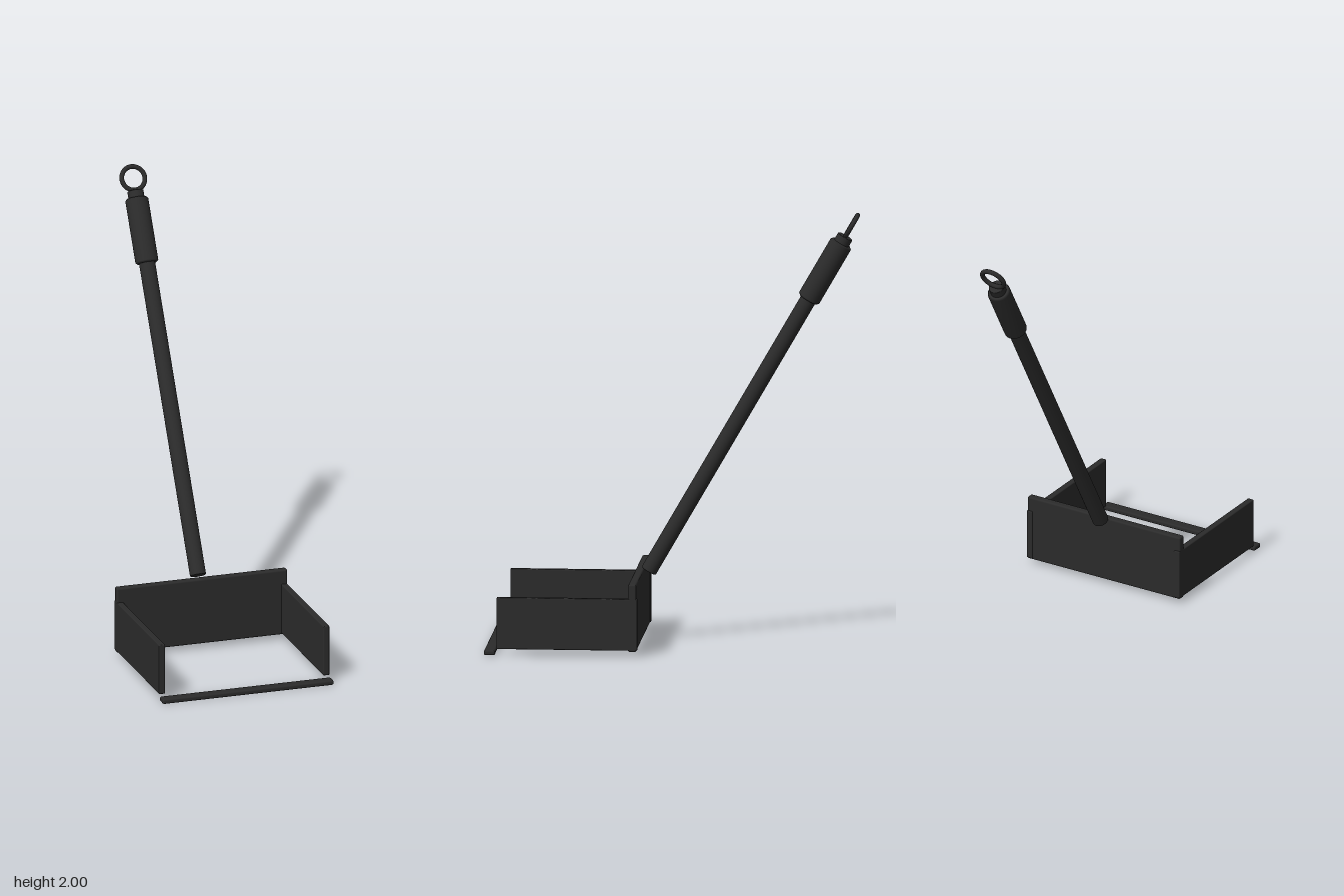
import * as THREE from 'three';
import { RoundedBoxGeometry } from 'three/addons/geometries/RoundedBoxGeometry.js';

export function createModel() {
  const model = new THREE.Group();
  model.name = 'longHandledDustpan';
  const plastic = new THREE.MeshStandardMaterial({ color: 0x2b2b2b });
  plastic.name = 'charcoal plastic';

  const add = (name, geometry, parent = model) => {
    const mesh = new THREE.Mesh(geometry, plastic);
    mesh.name = name;
    parent.add(mesh);
    return mesh;
  };

  // Softly rounded box given by its lower and upper corners
  const slab = (name, [x0, y0, z0], [x1, y1, z1], radius) => {
    const box = new RoundedBoxGeometry(x1 - x0, y1 - y0, z1 - z0, 2, radius);
    add(name, box).position.set((x0 + x1) / 2, (y0 + y1) / 2, (z0 + z1) / 2);
  };

  // Open pan frame: back, two sides and front lip
  slab('backWall', [-0.41, 0.023, 0.147], [0.41, 0.335, 0.184], 0.008);
  slab('leftWall', [0.38, 0.029, 0.142], [0.41, 0.267, 0.786], 0.005);
  slab('rightWall', [-0.41, 0.029, 0.142], [-0.38, 0.267, 0.786], 0.005);
  slab('frontLip', [-0.411, 0, 0.793], [0.411, 0.023, 0.844], 0.008);

  // Handle leaning back 30 degrees; its parts stack along local y
  const handle = new THREE.Group();
  handle.name = 'handle';
  handle.position.set(0, 0.332, 0.122);
  handle.rotation.x = -Math.PI / 6;
  model.add(handle);

  // Turned part with a small chamfer at both ends
  const turned = (name, radius, y0, y1, bevel) => {
    const profile = [
      [0, y0], [radius - bevel, y0], [radius, y0 + bevel],
      [radius, y1 - bevel], [radius - bevel, y1], [0, y1],
    ].map(([r, y]) => new THREE.Vector2(r, y));
    add(name, new THREE.LatheGeometry(profile, 32), handle);
  };
  turned('pole', 0.037, 0, 1.80, 0.003);
  turned('grip', 0.053, 1.461, 1.765, 0.008);

  // Hanging loop
  const loop = add('hangingLoop', new THREE.TorusGeometry(0.055, 0.011, 12, 40), handle);
  loop.position.y = 1.857;

  return model;
}
